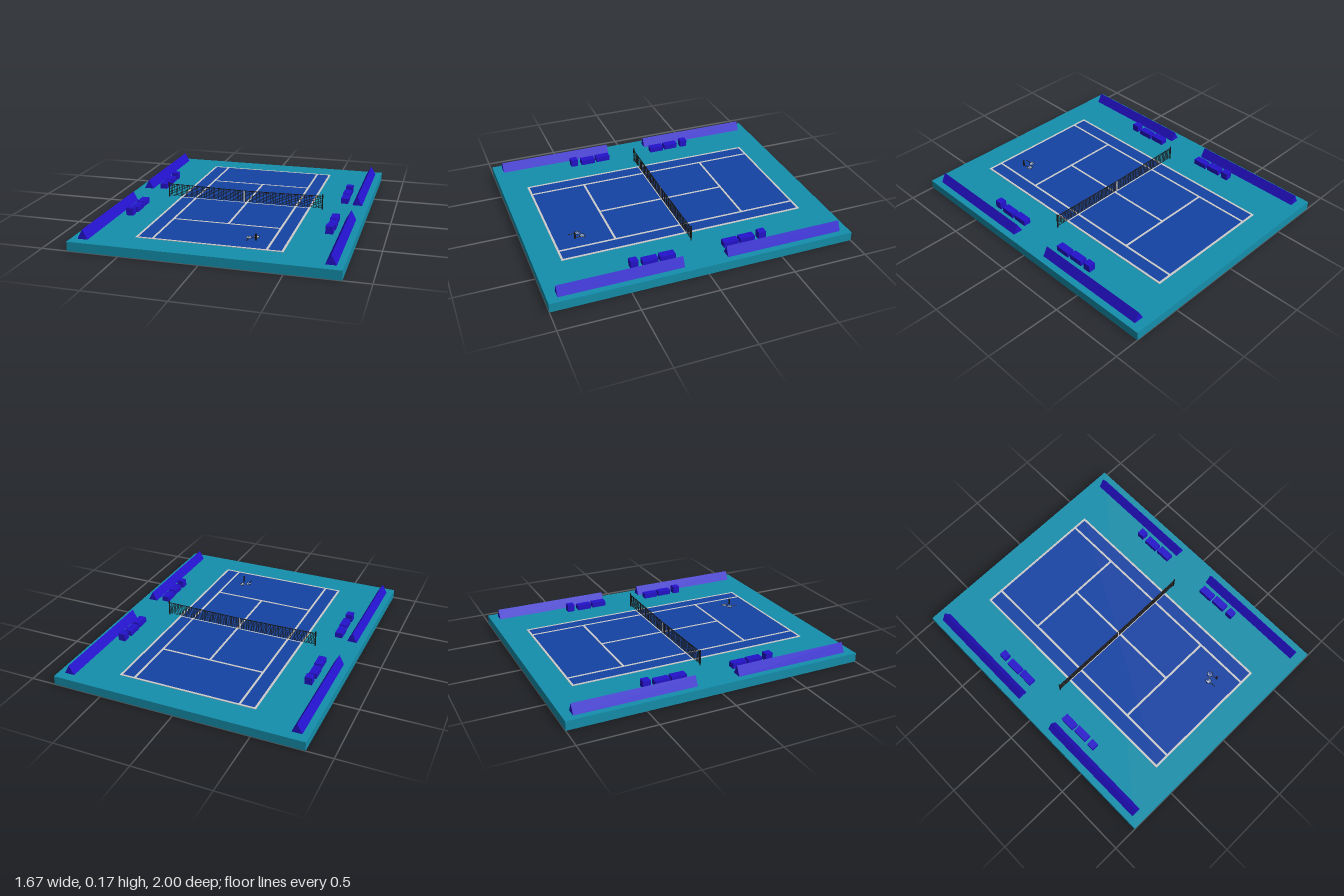
import * as THREE from 'three';
import { mergeGeometries } from 'three/addons/utils/BufferGeometryUtils.js';

const material = (color, extra = {}) => new THREE.MeshStandardMaterial({ color, ...extra });
const TEAL = material(0x148fac), COURT = material(0x1343a5), WHITE = material(0xcccccc);
const VIOLET = material(0x2412cc, { flatShading: true }), BLACK = material(0x18181a);
const GROUND = 0.06;

function add(parent, name, geometry, mat, x = 0, y = 0, z = 0) {
  const mesh = new THREE.Mesh(geometry, mat);
  mesh.name = name;
  mesh.position.set(x, y, z);
  parent.add(mesh);
  return mesh;
}

// Box given by its extents
function block(parent, name, mat, x0, x1, y0, y1, z0, z1) {
  return add(parent, name, new THREE.BoxGeometry(x1 - x0, y1 - y0, z1 - z0), mat,
    (x0 + x1) / 2, (y0 + y1) / 2, (z0 + z1) / 2);
}

// Thin square bar between two points in the plane of the net
function bar(x0, y0, x1, y1, t, depth = t) {
  const geometry = new THREE.BoxGeometry(Math.hypot(x1 - x0, y1 - y0), t, depth);
  geometry.rotateZ(Math.atan2(y1 - y0, x1 - x0));
  return geometry.translate((x0 + x1) / 2, (y0 + y1) / 2, 0);
}

function createNet() {
  const net = new THREE.Group();
  net.name = 'net';
  const left = 0.542, right = -0.546, bottom = 0.071;
  const top = x => 0.145 + 0.008 * Math.abs(x) / 0.545;
  const cords = [];
  const columns = 88, rows = 9;
  for (let i = 0; i <= columns; i++) {
    const x = right + (left - right) * i / columns;
    cords.push(bar(x, bottom, x, top(x), 0.0018));
  }
  for (let j = 0; j <= rows; j++) {
    const y = x => bottom + (top(x) - bottom) * j / rows;
    cords.push(bar(right, y(right), 0, y(0), 0.0018), bar(0, y(0), left, y(left), 0.0018));
  }
  add(net, 'netMesh', mergeGeometries(cords), BLACK);
  // Top band and centre strap
  add(net, 'topBand', mergeGeometries([
    bar(right, top(right), 0, top(0), 0.005, 0.003),
    bar(0, top(0), left, top(left), 0.005, 0.003)]), BLACK);
  block(net, 'centreStrap', WHITE, -0.004, 0.004, GROUND, 0.147, -0.002, 0.002);
  for (const x of [right, left])
    add(net, 'netPost', new THREE.CylinderGeometry(0.0045, 0.0045, 0.106, 12), BLACK, x, GROUND + 0.053, 0);
  return net;
}

function createRacket() {
  const racket = new THREE.Group();
  racket.name = 'racket';
  const r = 0.018;
  const hoop = add(racket, 'hoop', new THREE.TorusGeometry(r, 0.0016, 6, 24), BLACK);
  hoop.rotation.x = Math.PI / 2;
  const strings = [];
  for (let i = -3; i <= 3; i++) {
    const d = i * r / 4, half = Math.sqrt(r * r - d * d);
    strings.push(new THREE.BoxGeometry(2 * half, 0.0007, 0.0009).translate(0, 0, d));
    strings.push(new THREE.BoxGeometry(0.0009, 0.0007, 2 * half).translate(d, 0, 0));
  }
  add(racket, 'strings', mergeGeometries(strings), WHITE);
  const grip = add(racket, 'grip', new THREE.CylinderGeometry(0.0024, 0.0024, 0.04, 8), BLACK, 0, 0, r + 0.02);
  grip.rotation.x = Math.PI / 2;
  return racket;
}

export function createModel() {
  const model = new THREE.Group();
  model.name = 'tennisCourt';

  block(model, 'platform', TEAL, -0.833, 0.833, 0, GROUND, -1, 1);
  block(model, 'playingSurface', COURT, -0.46, 0.46, GROUND - 0.005, 0.062, -0.822, 0.822);

  // Court markings
  const w = 0.007;
  const line = (name, x0, x1, z0, z1) => block(model, name, WHITE, x0, x1, 0.0605, 0.0635, z0, z1);
  for (const x of [-0.454, -0.352, 0.359, 0.454]) line('sideLine', x - w, x + w, -0.825, 0.825);
  for (const s of [-1, 1]) {
    line('baseLine', -0.461, 0.461, s * 0.818 - w, s * 0.818 + w);
    line('serviceLine', -0.352, 0.359, s * 0.443 - w, s * 0.443 + w);
  }
  line('centreLine', 0.018 - w, 0.018 + w, -0.443, 0.443);
  line('netLine', -0.46, 0.46, -0.004, 0.004);

  model.add(createNet());

  // Triangular barriers along both sides
  const triangle = new THREE.Shape([[-0.033, 0], [0.033, 0], [0, 0.062]].map(p => new THREE.Vector2(...p)));
  const barrier = new THREE.ExtrudeGeometry(triangle, { depth: 0.793, bevelEnabled: false });
  for (const side of [-1, 1]) {
    for (const z of [-0.938, 0.143]) add(model, 'barrier', barrier, VIOLET, side * 0.757, GROUND, z);

    // Two benches and a taller box in each quarter
    for (const end of [-1, 1]) {
      const group = new THREE.Group();
      group.name = 'seating';
      group.position.set(side * 0.66 + 0.005, GROUND, 0);
      const shift = 0.0025 * end;
      for (const [name, x, z, width, height, length] of [
        ['bench', -shift, 0.212, 0.05, 0.036, 0.1],
        ['bench', shift, 0.327, 0.05, 0.036, 0.1],
        ['box', 0, 0.43, 0.048, 0.05, 0.05]])
        add(group, name, new THREE.BoxGeometry(width, height, length), VIOLET, x, height / 2, end * z);
      model.add(group);
    }
  }

  // Rackets and ball can left on the court
  for (const [x, z, turn] of [[0.21, 0.655, 0], [0.25, 0.63, 0.25]]) {
    const racket = createRacket();
    racket.position.set(x, 0.0655, z);
    racket.rotation.y = turn;
    model.add(racket);
  }
  add(model, 'ballCan', new THREE.CylinderGeometry(0.006, 0.006, 0.043, 16), BLACK, 0.26, 0.0835, 0.682);
  return model;
}
